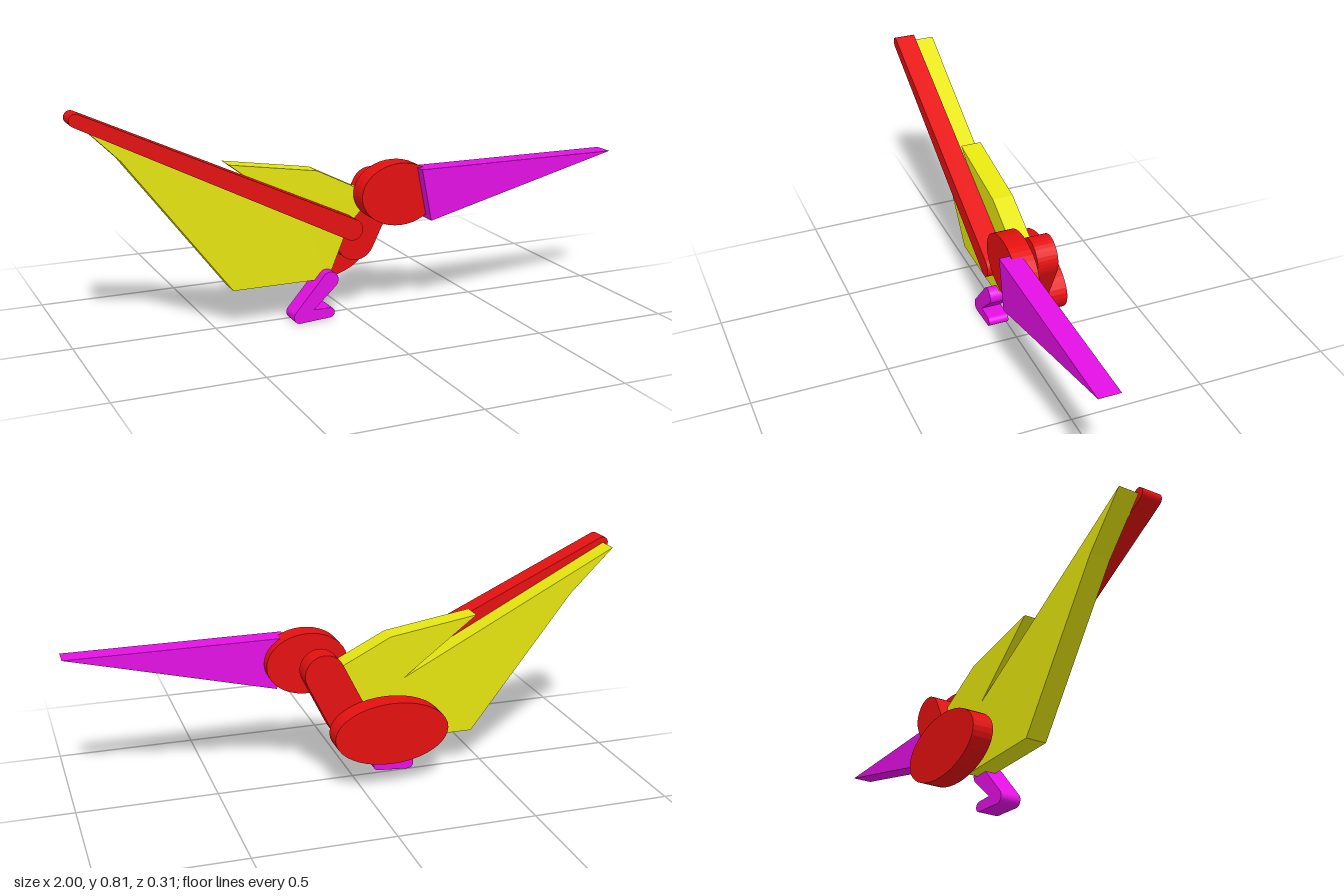
import * as THREE from 'three';

const STEP = 0.0765; // thickness of every cut-out layer

const makeMaterial = (name, color) => {
  const m = new THREE.MeshStandardMaterial({ color });
  m.name = name;
  return m;
};

// Closed outline from [x, y] corners
const polygon = (corners) => new THREE.Shape(corners.map(([x, y]) => new THREE.Vector2(x, y)));

const ellipse = (x, y, rx, ry) => new THREE.Shape().absellipse(x, y, rx, ry, 0, Math.PI * 2);

// Rounded limb outline: two circles joined by their tangents
function limb(x1, y1, r1, x2, y2, r2) {
  const dir = Math.atan2(y2 - y1, x2 - x1);
  const spread = Math.acos((r1 - r2) / Math.hypot(x2 - x1, y2 - y1));
  const points = [];
  const arc = (x, y, r, from, to) => {
    for (let i = 0; i <= 16; i++) {
      const a = from + ((to - from) * i) / 16;
      points.push([x + r * Math.cos(a), y + r * Math.sin(a)]);
    }
  };
  arc(x2, y2, r2, dir - spread, dir + spread);
  arc(x1, y1, r1, dir + spread, dir + Math.PI * 2 - spread);
  return polygon(points);
}

export function createModel() {
  const model = new THREE.Group();
  model.name = 'bird';
  const red = makeMaterial('red', 0xe51010);
  const yellow = makeMaterial('yellow', 0xe5e510);
  const magenta = makeMaterial('magenta', 0xe510e5);

  const add = (name, shape, backZ, material) => {
    const geometry = new THREE.ExtrudeGeometry(shape, {
      depth: STEP, bevelEnabled: false, curveSegments: 20,
    });
    geometry.translate(0, 0, backZ);
    const mesh = new THREE.Mesh(geometry, material);
    mesh.name = name;
    model.add(mesh);
  };

  // Body and neck at the back
  add('body', ellipse(-0.1, 0.215, 0.21, 0.115), -2 * STEP, red);
  add('neck', limb(0.035, 0.255, 0.073, 0.123, 0.433, 0.072), -STEP, red);

  // Wing membrane with its short inner feather
  add('wing', polygon([
    [-0.98, 0.79], [-0.82, 0.63], [-0.445, 0.14], [-0.09, 0.14], [-0.01, 0.33],
    [0.08, 0.42], [0.04, 0.45], [-0.13, 0.535], [-0.453, 0.585], [-0.18, 0.375],
  ]), -STEP / 2, yellow);

  // Leg and foot share one layer
  add('leg', limb(-0.098, 0.145, 0.031, -0.214, 0.025, 0.022), 0, magenta);
  add('foot', limb(-0.214, 0.022, 0.022, -0.1, 0.026, 0.018), 0, magenta);

  // Wing arm and head
  add('wingArm', limb(-0.028, 0.33, 0.038, -0.978, 0.789, 0.022), STEP / 2, red);
  add('head', ellipse(0.155, 0.44, 0.148, 0.112), STEP / 2, red);

  // Beak in front
  add('beak', polygon([[0.22, 0.53], [0.258, 0.342], [1, 0.53]]), STEP, magenta);

  return model;
}
